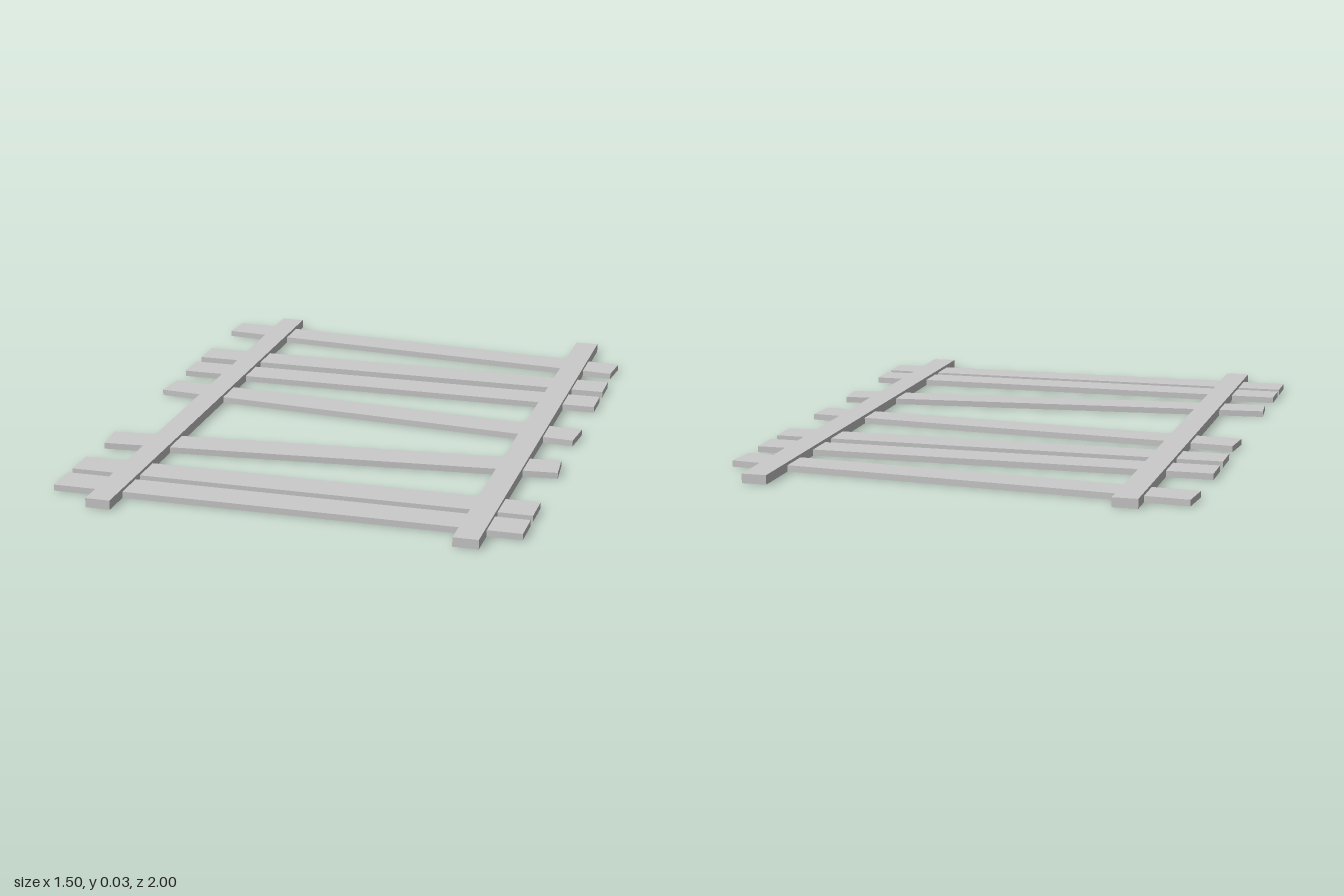
import * as THREE from 'three';

export function createModel() {
  const group = new THREE.Group();
  const material = new THREE.MeshStandardMaterial({ color: 0xcccccc, flatShading: true });

  // A board resting on the ground, turned about the vertical axis
  function addBoard(name, width, height, depth, x, z, degrees = 0) {
    const board = new THREE.Mesh(new THREE.BoxGeometry(width, height, depth), material);
    board.name = name;
    board.position.set(x, height / 2, z);
    board.rotation.y = THREE.MathUtils.degToRad(degrees);
    group.add(board);
  }

  // Two long rails
  addBoard('rightRail', 0.08, 0.03, 2, -0.56, 0);
  addBoard('leftRail', 0.08, 0.03, 2, 0.6, 0);

  // Cross planks, back to front: [z, turn in degrees]
  const planks = [
    [-0.81, -5], [-0.532, 0], [-0.362, 0], [-0.07, -5],
    [0.372, 5], [0.688, 0], [0.838, 0],
  ];
  planks.forEach(([z, turn], i) => addBoard(`plank${i + 1}`, 1.5, 0.02, 0.114, 0, z, turn));

  return group;
}
